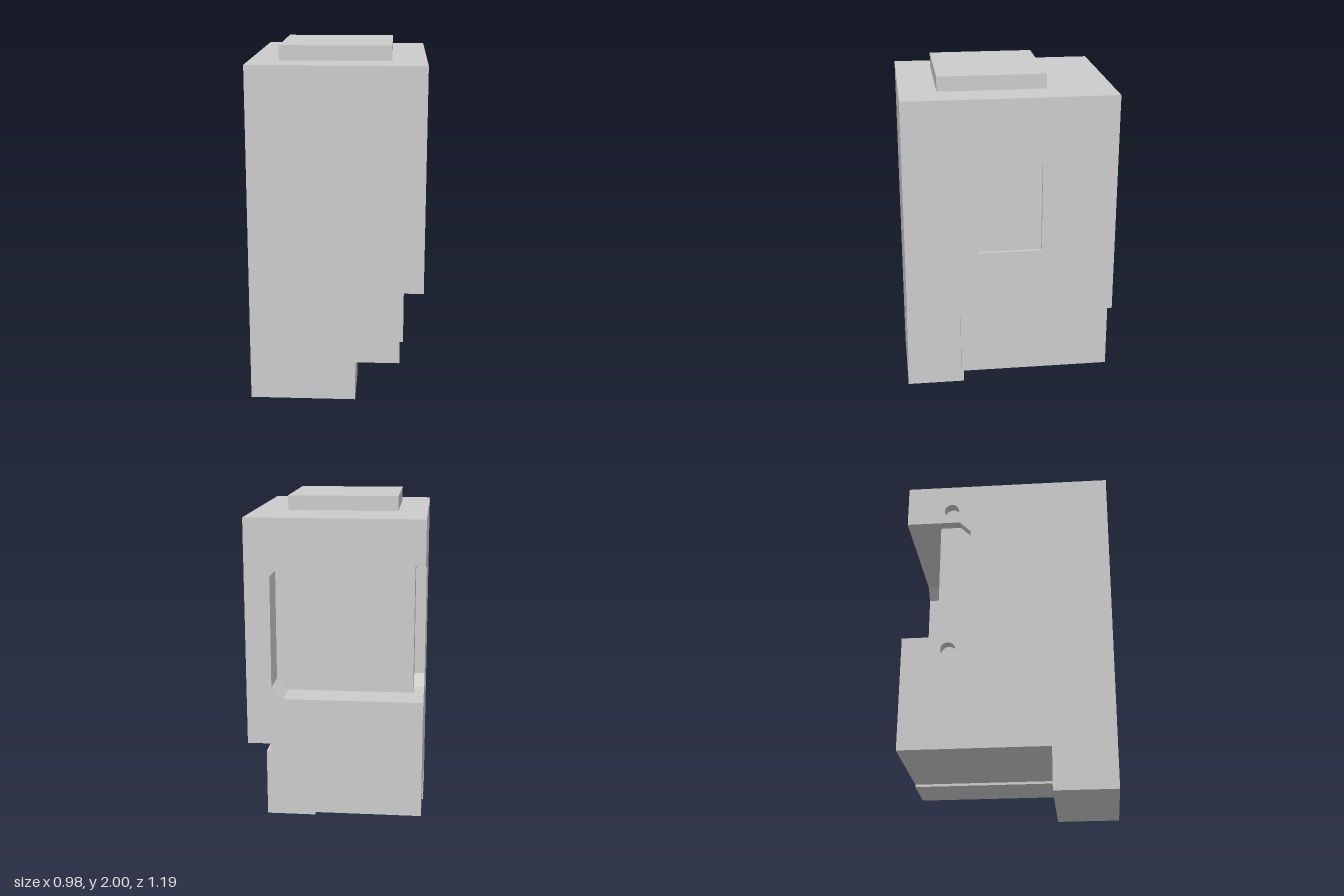
import * as THREE from 'three';

const material = new THREE.MeshStandardMaterial({ color: 0xcccccc });

const polygon = (points) => new THREE.Shape(points.map(([a, b]) => new THREE.Vector2(a, b)));

function addMesh(group, name, geometry) {
  const mesh = new THREE.Mesh(geometry, material);
  mesh.name = name;
  group.add(mesh);
}

// Box given by its limits on each axis
function addBox(group, name, [x0, x1], [y0, y1], [z0, z1]) {
  const geometry = new THREE.BoxGeometry(x1 - x0, y1 - y0, z1 - z0);
  geometry.translate((x0 + x1) / 2, (y0 + y1) / 2, (z0 + z1) / 2);
  addMesh(group, name, geometry);
}

// (x, y) profile extruded from z0 to z1
function addAlongZ(group, name, shape, z0, z1) {
  const geometry = new THREE.ExtrudeGeometry(shape, { depth: z1 - z0, bevelEnabled: false });
  geometry.translate(0, 0, z0);
  addMesh(group, name, geometry);
}

// (z, y) profile extruded from x0 to x1
function addAlongX(group, name, shape, x0, x1) {
  const geometry = new THREE.ExtrudeGeometry(shape, { depth: x1 - x0, bevelEnabled: false, curveSegments: 12 });
  geometry.rotateY(-Math.PI / 2);
  geometry.translate(x1, 0, 0);
  addMesh(group, name, geometry);
}

export function createModel() {
  const group = new THREE.Group();
  group.name = 'machineHousing';

  const side = 0.49, end = 0.593, top = 1.917;
  const base = 0.245, ledge = 0.65;
  const skinX = -0.43, windowX = 0.47, pocketZ = -0.4;
  const pocketLow = 0.913, pocketHigh = 1.667, chamfer = 0.065;

  // Notch outline with two chamfered corners, open at coordinate "open", closed at "closed"
  const notch = (open, closed) => [
    [open, pocketLow], [closed - chamfer, pocketLow], [closed, pocketLow + chamfer],
    [closed, pocketHigh - chamfer], [closed - chamfer, pocketHigh], [open, pocketHigh],
  ];

  // Main block, stepped on its left side and underneath
  const steps = [
    [skinX, base], [0.11, base], [0.11, 0.23], [0.36, 0.23],
    [0.36, ledge], [windowX, ledge], [windowX, top], [skinX, top],
  ];
  addAlongZ(group, 'mainBlock', polygon(steps), pocketZ, end);

  // Rear layer with the pocket that opens towards the right side
  addAlongZ(group, 'rearPocketFrame',
    polygon([...steps, ...notch(skinX, 0.35).reverse()]), -end, pocketZ);

  // Right side layer: the pocket wraps round the corner, with two screw holes
  const rightSide = polygon([
    [-end, base], [end, base], [end, top], [-end, top], ...notch(-end, -0.215).reverse(),
  ]);
  for (const y of [0.835, 1.75]) {
    rightSide.holes.push(new THREE.Path().absarc(-0.33, y, 0.043, 0, Math.PI * 2, true));
  }
  addAlongX(group, 'rightSidePlate', rightSide, -side, skinX);

  // Left side layer with a shallow rectangular recess
  const leftSide = polygon([[-end, ledge], [end, ledge], [end, top], [-end, top]]);
  leftSide.holes.push(polygon([[-0.175, 1.035], [-0.175, 1.54], [0.18, 1.54], [0.18, 1.035]]));
  addAlongX(group, 'leftSidePlate', leftSide, windowX, side);

  // Raised panel under the left overhang, foot and top pad
  addBox(group, 'lowerSidePanel', [0.36, 0.383], [0.23, 0.605], [-end, 0.28]);
  addBox(group, 'frontFoot', [-side, 0.11], [0, base], [0.245, end]);
  addBox(group, 'topPad', [-0.324, 0.298], [top, 2], [-0.22, 0.385]);

  return group;
}
